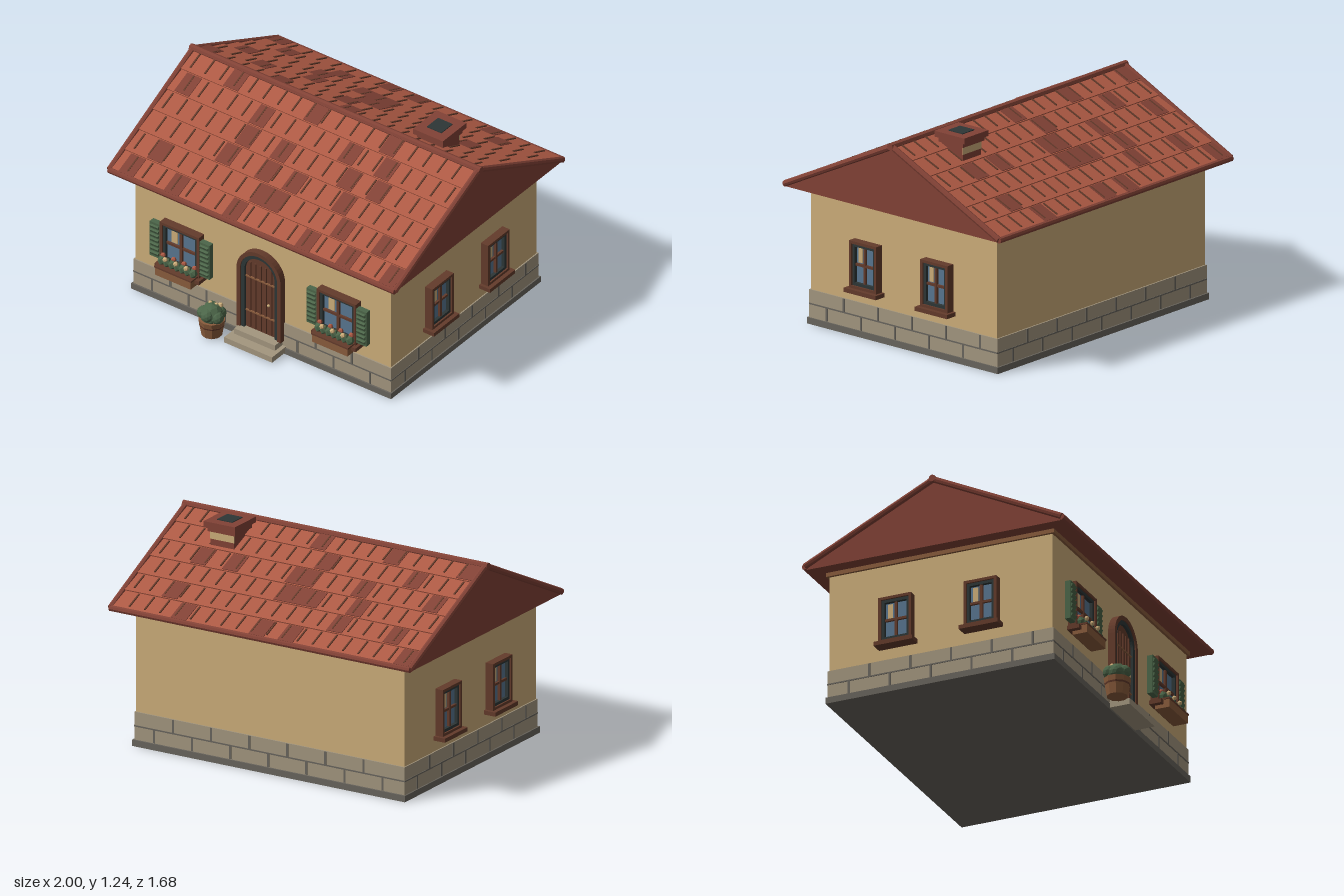
import * as THREE from 'three';

const mat = (name, color) => Object.assign(new THREE.MeshStandardMaterial({ color }), { name });

export function createModel() {
  const house = new THREE.Group();
  house.name = 'house';
  const plaster = mat('plaster', 0xcdae7a), tile = mat('roofTile', 0xae5a44), darkTile = mat('darkTile', 0x824236);
  const stone = mat('stone', 0xa3967f), slate = mat('foundationGrey', 0x69655d), wood = mat('darkWood', 0x643b2b);
  const oak = mat('lightWood', 0x8a5c3c), dark = mat('darkFrame', 0x2d3636), glass = mat('glass', 0x587690);
  const green = mat('leafGreen', 0x4c6649);

  const add = (parent, name, geo, m, x = 0, y = 0, z = 0) => {
    const mesh = new THREE.Mesh(geo, m);
    mesh.name = name;
    mesh.position.set(x, y, z);
    parent.add(mesh);
    return mesh;
  };
  const box = (parent, name, m, w, h, d, x, y, z) => add(parent, name, new THREE.BoxGeometry(w, h, d), m, x, y, z);
  const group = (parent, name, x = 0, y = 0, z = 0, ry = 0) => {
    const g = new THREE.Group();
    g.name = name;
    g.position.set(x, y, z);
    g.rotation.y = ry;
    parent.add(g);
    return g;
  };
  const faceted = (geo) => {
    const g = geo.index ? geo.toNonIndexed() : geo;
    g.computeVertexNormals();
    return g;
  };
  // Faceted rod between two points
  const rod = (parent, name, m, a, b, r) => {
    const p = new THREE.Vector3(...a), q = new THREE.Vector3(...b), dir = q.clone().sub(p);
    const mesh = add(parent, name, faceted(new THREE.CylinderGeometry(r, r, dir.length(), 8)), m);
    mesh.position.copy(p).add(q).multiplyScalar(0.5);
    mesh.quaternion.setFromUnitVectors(new THREE.Vector3(0, 1, 0), dir.normalize());
  };

  // Walls, stone base and cornice
  const cz = -0.036;
  box(house, 'foundation', slate, 1.79, 0.037, 1.4, 0, 0.0185, cz);
  box(house, 'stoneBase', stone, 1.774, 0.165, 1.38, 0, 0.1175, cz);
  box(house, 'walls', plaster, 1.76, 0.6, 1.364, 0, 0.5, cz);
  box(house, 'cornice', oak, 1.79, 0.024, 1.394, 0, 0.787, cz);

  // Mortar joints on all four sides, staggered by course
  for (let side = 0; side < 4; side++) {
    const half = side % 2 ? 0.887 : 0.69, length = side % 2 ? 1.38 : 1.774;
    const face = group(house, 'mortarJoints', 0, 0, cz, side * Math.PI / 2);
    box(face, 'courseJoint', slate, length, 0.008, 0.006, 0, 0.118, half);
    for (let row = 0; row < 2; row++)
      for (let x = -length / 2 + 0.13 + row * 0.125; x < length / 2 - 0.04; x += 0.25)
        box(face, 'joint', slate, 0.013, 0.078, 0.006, x, 0.078 + row * 0.081, half);
  }

  // Roof body with gable ends
  const roof = group(house, 'roof', 0, 0, cz);
  const run = 0.785, eaveY = 0.818, ridgeY = 1.195;
  const gable = new THREE.Shape([[-run, 0.8], [run, 0.8], [run, eaveY], [0, ridgeY], [-run, eaveY]]
    .map((p) => new THREE.Vector2(...p)));
  const body = new THREE.ExtrudeGeometry(gable, { depth: 1.95, bevelEnabled: false });
  body.translate(0, 0, -0.975).rotateY(Math.PI / 2);
  add(roof, 'roofBody', body, darkTile);

  // Tile courses from ridge to eave, with darker tiles at given x
  const accents = [
    [[-0.63, -0.08, 0.44], [-0.87, -0.36, 0.25, 0.5], [-0.36, -0.12, 0.34, 0.54], [-0.4, -0.13, 0.06, 0.4],
      [-0.77, -0.07, 0.03, 0.49, 0.77], [-0.87, -0.56, -0.16, 0.34, 0.62, 0.92]],
    [[-0.92, -0.44, 0.04], [-0.65, -0.07], [-0.86, -0.39, -0.04, 0.04, 0.45, 0.66], [-0.44, -0.15, -0.05, 0.03],
      [-0.77, -0.4, 0.68], [-0.92, -0.16, 0.03, 0.54]],
  ];
  const slope = Math.atan2(ridgeY - eaveY, run), step = Math.hypot(run, ridgeY - eaveY) / 6;
  accents.forEach((rows, s) => {
    const side = group(roof, s ? 'backSlope' : 'frontSlope', 0, 0, 0, s * Math.PI);
    const plane = group(side, 'tileCourses', 0, ridgeY, 0);
    plane.rotation.x = slope;
    rows.forEach((xs, i) => {
      const course = group(plane, 'tileCourse', 0, 0.004, (i + 0.5) * step);
      course.rotation.x = -0.05;
      box(course, 'tiles', tile, 1.95, 0.012, step, 0, 0, 0);
      for (const x of xs) box(course, 'darkTile', darkTile, 0.1, 0.007, step * 0.92, s ? -x : x, 0.0065, 0);
      for (let x = -0.92 + (i % 2) * 0.05; x < 0.96; x += 0.1)
        box(course, 'tileGap', wood, 0.009, 0.006, step * 0.75, x, 0.009, -0.008);
    });
    // Trim along eave and gable edges
    rod(side, 'eaveTrim', darkTile, [-0.985, eaveY, run], [0.985, eaveY, run], 0.018);
    for (const x of [-0.982, 0.982])
      rod(side, 'gableTrim', darkTile, [x, ridgeY + 0.004, 0], [x, eaveY + 0.002, run], 0.018);
  });
  rod(roof, 'ridgeCap', darkTile, [-1, 1.2, 0], [1, 1.2, 0], 0.021);

  // Chimney
  const chimney = group(house, 'chimney', 0.59, 0, -0.205);
  box(chimney, 'stack', darkTile, 0.155, 0.2, 0.155, 0, 1.1, 0);
  box(chimney, 'plasterBand', plaster, 0.158, 0.045, 0.006, 0, 1.15, -0.078);
  box(chimney, 'collar', darkTile, 0.18, 0.03, 0.18, 0, 1.187, 0);
  box(chimney, 'cap', darkTile, 0.205, 0.034, 0.22, 0, 1.217, 0);
  box(chimney, 'flue', dark, 0.1, 0.005, 0.105, 0, 1.236, 0);

  // Windows, with local z pointing out of the wall
  const ring = (parent, name, m, w, h, t, d) => {
    for (const s of [-1, 1]) {
      box(parent, name, m, t, h, d, s * (w - t) / 2, 0, d / 2);
      box(parent, name, m, w - 2 * t, t, d, 0, s * (h - t) / 2, d / 2);
    }
  };
  const makeWindow = (x, z, ry, w) => {
    const h = 0.275, win = group(house, 'window', x, 0.4275, z, ry);
    ring(win, 'outerFrame', wood, w, h, 0.016, 0.05);
    ring(win, 'innerFrame', dark, w - 0.032, h - 0.032, 0.017, 0.04);
    box(win, 'pane', glass, w - 0.06, h - 0.06, 0.02, 0, 0, 0.01);
    box(win, 'curtain', plaster, w * 0.15, 0.085, 0.006, -w * 0.19, 0.055, 0.021);
    box(win, 'mullion', wood, 0.016, h - 0.06, 0.035, 0, 0, 0.0175);
    box(win, 'crossbar', wood, w - 0.06, 0.014, 0.033, 0, 0, 0.0165);
    box(win, 'sill', wood, w + 0.036, 0.024, 0.075, 0, -0.149, 0.0375);
    return win;
  };
  for (const s of [-1, 1])
    for (const z of [0.225, -0.297]) makeWindow(s * 0.88, z, s * Math.PI / 2, 0.2);

  // Front windows with shutters and flower boxes
  for (const s of [-1, 1]) {
    const win = makeWindow(s * 0.54, 0.646, 0, 0.27);
    for (const e of [-1, 1]) {
      const shutter = group(win, 'shutter', e * 0.171, -0.003, 0);
      box(shutter, 'shutterPanel', green, 0.07, 0.23, 0.034, 0, 0, 0.03);
      for (let i = 0; i < 7; i++)
        box(shutter, 'slat', green, 0.056, 0.018, 0.014, 0, -0.09 + i * 0.03, 0.048).rotation.x = 0.45;
    }
    const planter = group(win, 'flowerBox', 0, -0.155, 0.066);
    box(planter, 'trough', oak, 0.245, 0.056, 0.088, 0, 0, 0);
    box(planter, 'troughRim', wood, 0.255, 0.01, 0.094, 0, 0.026, 0);
    for (let i = 0; i < 7; i++) {
      const x = -0.108 + i * 0.036, bloom = i % 2 ? plaster : tile;
      add(planter, 'foliage', faceted(new THREE.IcosahedronGeometry(0.025, 0)), green, x, 0.05, 0).scale.y = 1.3;
      add(planter, 'bloom', faceted(new THREE.IcosahedronGeometry(0.016, 0)), bloom, x, 0.08, i % 2 ? 0.018 : -0.012);
    }
  }

  // Arched door
  const arch = (r, y0, d) => {
    const shape = new THREE.Shape().moveTo(-r, y0).lineTo(r, y0).lineTo(r, 0.473);
    shape.absarc(0, 0.473, r, 0, Math.PI, false);
    return new THREE.ExtrudeGeometry(shape.closePath(), { depth: d, bevelEnabled: false, curveSegments: 10 });
  };
  const archRing = (outer, inner, d) => {
    const shape = new THREE.Shape().moveTo(inner, 0.08).lineTo(outer, 0.08).lineTo(outer, 0.473);
    shape.absarc(0, 0.473, outer, 0, Math.PI, false);
    shape.lineTo(-outer, 0.08).lineTo(-inner, 0.08).lineTo(-inner, 0.473);
    shape.absarc(0, 0.473, inner, Math.PI, 0, true);
    return new THREE.ExtrudeGeometry(shape, { depth: d, bevelEnabled: false, curveSegments: 10 });
  };
  const door = group(house, 'door', 0, 0, 0.64);
  add(door, 'doorSurround', archRing(0.152, 0.128, 0.048), wood);
  add(door, 'doorFrame', archRing(0.128, 0.104, 0.04), dark);
  add(door, 'doorLeaf', arch(0.104, 0.08, 0.024), wood);
  for (let i = -2; i <= 2; i++) box(door, 'plankBatten', wood, 0.01, 0.44, 0.01, i * 0.036, 0.31, 0.027);
  for (const y of [0.2, 0.43]) box(door, 'strap', oak, 0.2, 0.008, 0.009, 0, y, 0.03);
  add(door, 'knob', new THREE.SphereGeometry(0.009, 8, 6), plaster, 0.062, 0.293, 0.038);

  // Steps
  box(house, 'lowerStep', stone, 0.33, 0.036, 0.14, 0, 0.028, 0.715);
  box(house, 'upperStep', stone, 0.28, 0.036, 0.08, 0, 0.064, 0.685);

  // Potted shrub
  const pot = group(house, 'pottedShrub', -0.27, 0, 0.758);
  add(pot, 'pot', faceted(new THREE.CylinderGeometry(0.078, 0.06, 0.105, 10)), oak, 0, 0.066, 0);
  add(pot, 'potBand', faceted(new THREE.CylinderGeometry(0.074, 0.071, 0.01, 10)), wood, 0, 0.082, 0);
  add(pot, 'shrub', faceted(new THREE.IcosahedronGeometry(0.068, 1)), green, 0, 0.145, 0);
  for (let i = 0; i < 5; i++) {
    const a = i * Math.PI * 0.4 + 0.3;
    add(pot, 'leafClump', faceted(new THREE.IcosahedronGeometry(0.04, 1)), green,
      0.047 * Math.cos(a), 0.145 + (i % 2) * 0.012, 0.042 * Math.sin(a));
  }
  for (const [x, z] of [[0.01, -0.025], [-0.025, -0.02], [0.03, -0.04]])
    add(pot, 'shrubBloom', faceted(new THREE.IcosahedronGeometry(0.017, 0)), plaster, x, 0.194, z);

  return house;
}
